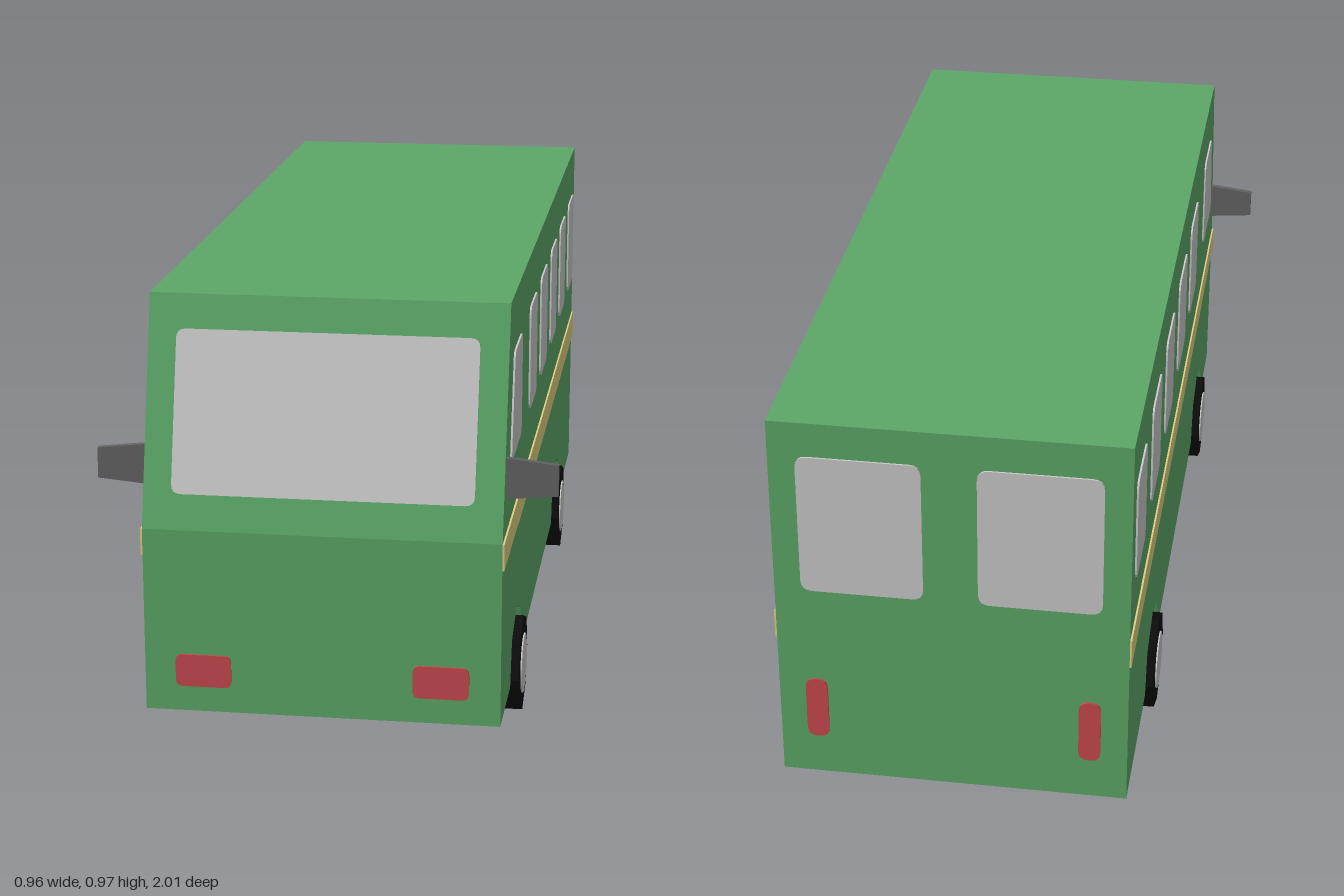
import * as THREE from 'three';

const mat = (name, color) => {
  const m = new THREE.MeshStandardMaterial({ color });
  m.name = name;
  return m;
};

// Polygon with softened corners; r = 0 keeps them sharp
function roundedShape(pts, r) {
  const P = pts.map(p => new THREE.Vector2(...p));
  const s = new THREE.Shape();
  P.forEach((p, i) => {
    const prev = P[(i + P.length - 1) % P.length], next = P[(i + 1) % P.length];
    const a = p.clone().add(prev.clone().sub(p).setLength(r));
    const b = p.clone().add(next.clone().sub(p).setLength(r));
    if (i === 0) s.moveTo(a.x, a.y); else s.lineTo(a.x, a.y);
    if (r > 0) s.quadraticCurveTo(p.x, p.y, b.x, b.y);
  });
  s.closePath();
  return s;
}

const rect = (a, b, y0, y1) => [[a, y0], [b, y0], [b, y1], [a, y1]];

function extrude(pts, r, depth) {
  return new THREE.ExtrudeGeometry(roundedShape(pts, r), { depth, bevelEnabled: false, curveSegments: 4 });
}

export function createModel() {
  const green = mat('green paint', 0x5ca868);
  const glass = mat('grey glass', 0xcacaca);
  const cream = mat('cream stripe', 0xe0d083);
  const red = mat('red lamp', 0xc8484f);
  const black = mat('black tyre', 0x0c0c0c);
  const dark = mat('dark grey mirror', 0x646464);

  const W = 0.372, inner = 0.3, T = 0.004;
  const axles = [0.645, -0.49];
  const van = new THREE.Group();
  van.name = 'van';

  const add = (name, geo, material, parent = van) => {
    const m = new THREE.Mesh(geo, material);
    m.name = name;
    parent.add(m);
    return m;
  };

  // Body: solid core plus side slabs with wheel arch cut-outs (profile in -z, y)
  const top = [[1, 0.105], [1, 0.97], [-0.875, 0.97], [-1, 0.5], [-1, 0.105]];
  const arches = axles.flatMap(z =>
    [[-0.135, 0.105], [-0.105, 0.2], [0, 0.24], [0.105, 0.2], [0.135, 0.105]].map(([u, y]) => [u - z, y]));
  const body = new THREE.Group();
  body.name = 'body';
  van.add(body);
  const slab = (name, pts, x0, x1) =>
    add(name, extrude(pts, 0, x1 - x0).rotateY(Math.PI / 2).translate(x0, 0, 0), green, body);
  slab('bodyCore', top, -inner, inner);
  slab('leftSide', [...top, ...arches], inner, W);
  slab('rightSide', [...top, ...arches], -W, -inner);

  // Side details, outlines given as (z, y)
  const cab = [[0.86, 0.63], [0.63, 0.63], [0.63, 0.852], [0.802, 0.852]];
  const stripe = [[1, 0.443], [0.7, 0.441], [0.65, 0.437], [0.3, 0.439], [-1, 0.445],
    [-1, 0.511], [-0.65, 0.509], [0, 0.503], [1, 0.5]];
  const windows = [[0.245, 0.42], [-0.055, 0.128], [-0.35, -0.175], [-0.642, -0.467], [-0.94, -0.765]];
  for (const s of [1, -1]) {
    const side = s > 0 ? 'left' : 'right';
    const plate = (name, pts, r, material) =>
      add(name, extrude(pts.map(([z, y]) => [-s * z, y]), r, T)
        .rotateY(s * Math.PI / 2).translate(s * W, 0, 0), material);
    plate(side + 'CabWindow', cab, 0.02, glass);
    windows.forEach(([a, b], i) => plate(side + 'Window' + (i + 1), rect(a, b, 0.62, 0.855), 0.025, glass));
    plate(side + 'Stripe', stripe, 0, cream);

    // Wheels with eight sides and a round hub plate
    axles.forEach((z, i) => {
      const wheel = new THREE.Group();
      wheel.name = side + (i ? 'RearWheel' : 'FrontWheel');
      wheel.position.set(s * 0.345, 0.11, z);
      van.add(wheel);
      const tyre = new THREE.CylinderGeometry(0.11, 0.11, 0.085, 8).rotateZ(Math.PI / 2).toNonIndexed();
      tyre.computeVertexNormals();
      add('tyre', tyre, black, wheel);
      add('hub', new THREE.CylinderGeometry(0.066, 0.066, T, 20).rotateZ(Math.PI / 2)
        .translate(s * 0.0435, 0, 0), glass, wheel);
    });

    // Tapered wing mirror
    const mirror = [[s * 0.365, 0.575], [s * 0.478, 0.585], [s * 0.478, 0.65], [s * 0.365, 0.663]];
    add(side + 'Mirror', extrude(mirror, 0, 0.014).translate(0, 0, 0.919), dark);

    // Lamps and rear windows
    const x = (a, b) => [Math.min(s * a, s * b), Math.max(s * a, s * b)];
    add(side + 'Headlamp', extrude(rect(...x(0.19, 0.307), 0.16, 0.23), 0.015, T).translate(0, 0, 1), red);
    const back = (name, pts, r, m) => add(name, extrude(pts, r, T).translate(0, 0, -1 - T), m);
    back(side + 'TailLamp', rect(...x(0.268, 0.315), 0.2, 0.348), 0.022, red);
    back(side + 'RearWindow', rect(...x(0.057, 0.315), 0.572, 0.893), 0.025, glass);
  }

  // Windscreen on the sloping front
  const tilt = Math.atan2(0.125, 0.47), c = Math.cos(tilt);
  const screen = add('windscreen', extrude(rect(-0.313, 0.313, 0.072 / c, 0.4 / c), 0.02, T), glass);
  screen.rotation.x = -tilt;
  screen.position.set(0, 0.5, 1);

  return van;
}
